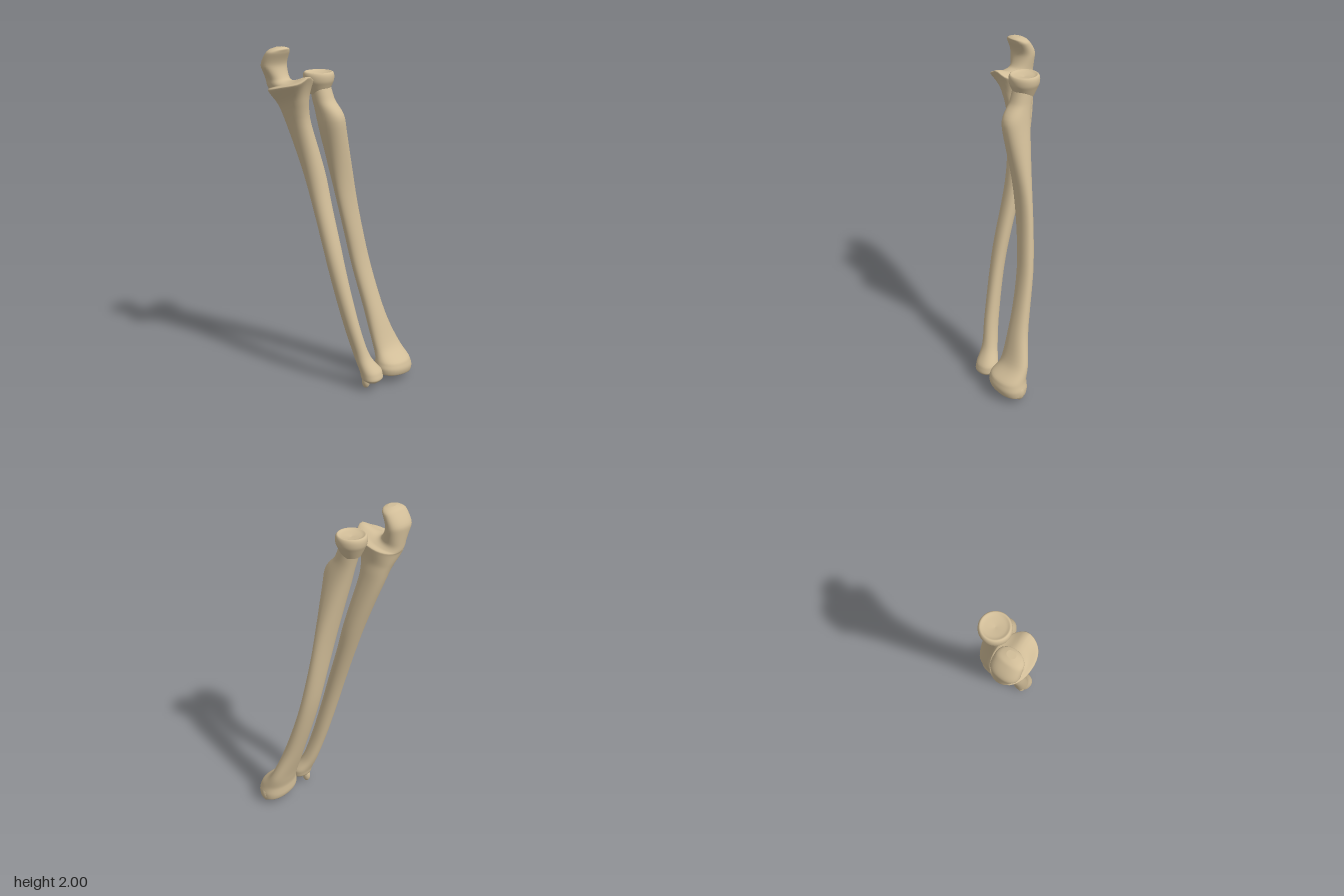
import * as THREE from 'three';

const SIDES = 32, STEPS = 7;
const { smoothstep } = THREE.MathUtils;

// Smooth value between stations b and c that never overshoots
function ease(a, b, c, d, t) {
  const mean = (p, q) => (p * q <= 0 ? 0 : (2 * p * q) / (p + q));
  const m0 = mean(b - a, c - b), m1 = mean(c - b, d - c);
  const t2 = t * t, t3 = t2 * t;
  return b * (2 * t3 - 3 * t2 + 1) + m0 * (t3 - 2 * t2 + t) + c * (3 * t2 - 2 * t3) + m1 * (t3 - t2);
}

// Skewed oval loft through stations [y, xMin, xMax, zMin, zMax], bottom to top; lift(x, y, z) raises the surface
function loft(stations, lift) {
  const at = (i) => stations[THREE.MathUtils.clamp(i, 0, stations.length - 1)];
  const rows = (stations.length - 1) * STEPS;
  const pos = [], index = [];
  const put = (x, y, z) => pos.push(x, y + lift(x, y, z), z);
  for (let r = 0; r <= rows; r++) {
    const i = Math.floor(r / STEPS), t = (r % STEPS) / STEPS;
    const [y, x0, x1, z0, z1] = at(i).map((v, k) => ease(at(i - 1)[k], v, at(i + 1)[k], at(i + 2)[k], t));
    // The shafts are skewed, the ends are not
    const skew = 0.16 * smoothstep(y, 0.2, 0.7) * (1 - smoothstep(y, 1.2, 1.6));
    for (let j = 0; j < SIDES; j++) {
      const a = (j / SIDES) * Math.PI * 2;
      const round = (v) => Math.sign(v) * Math.abs(v) ** 0.9;
      put(
        (x0 + x1) / 2 + ((x1 - x0) / 2) * round(Math.cos(a)), y,
        (z0 + z1) / 2 + ((z1 - z0) / 2) * round(Math.sin(a + skew)),
      );
    }
  }
  for (let i = 0; i < rows; i++) {
    for (let j = 0; j < SIDES; j++) {
      const a = i * SIDES + j, b = i * SIDES + ((j + 1) % SIDES);
      index.push(a, a + SIDES, b, b, a + SIDES, b + SIDES);
    }
  }
  // End caps
  const centre = pos.length / 3;
  for (const [y, x0, x1, z0, z1] of [at(0), at(rows)]) put((x0 + x1) / 2, y, (z0 + z1) / 2);
  for (let j = 0; j < SIDES; j++) {
    const k = (j + 1) % SIDES;
    index.push(centre, j, k, centre + 1, rows * SIDES + k, rows * SIDES + j);
  }
  const geometry = new THREE.BufferGeometry();
  geometry.setAttribute('position', new THREE.Float32BufferAttribute(pos, 3));
  geometry.setIndex(index);
  geometry.computeVertexNormals();
  return geometry;
}

export function createModel() {
  const bone = new THREE.MeshStandardMaterial({ color: 0xd1bd98 });
  bone.name = 'bone';
  const part = (name, geometry) => {
    const mesh = new THREE.Mesh(geometry, bone);
    mesh.name = name;
    return mesh;
  };
  // Small pointed knob under a wrist end
  const knob = (name, x, y, z, rx, ry, rz) =>
    part(name, new THREE.SphereGeometry(1, 24, 16).scale(rx, ry, rz).translate(x, y, z));

  // Radius: wide wrist end that slopes outwards, slender shaft, bump below the head
  const radiusShaft = loft([
    [0.04, 0.12, 0.28, 0.2, 0.3],
    [0.05, 0.08, 0.322, 0.16, 0.325],
    [0.085, 0.074, 0.326, 0.15, 0.335],
    [0.125, 0.082, 0.316, 0.15, 0.325],
    [0.2, 0.1, 0.298, 0.135, 0.245],
    [0.4, 0.097, 0.232, 0.078, 0.172],
    [0.8, 0.052, 0.173, -0.015, 0.065],
    [1.2, -0.028, 0.11, -0.062, 0.025],
    [1.59, -0.107, 0.026, -0.128, 0.046],
    [1.71, -0.112, 0.004, -0.152, -0.025],
    [1.79, -0.115, 0, -0.17, -0.055],
  ], (x, y) => 0.12 * (0.2 - x) * (1 - smoothstep(y, 0.05, 0.2)));

  // Dished disc on top of the radius
  const headProfile = new THREE.SplineCurve([
    [0.054, 1.735], [0.075, 1.782], [0.086, 1.81], [0.087, 1.84], [0.077, 1.857], [0.055, 1.849], [0, 1.84],
  ].map(([r, y]) => new THREE.Vector2(r, y)));
  const head = new THREE.LatheGeometry(headProfile.getPoints(30), 40).translate(-0.059, 0, -0.118);

  const radius = new THREE.Group();
  radius.name = 'radius';
  radius.add(
    part('radiusShaft', radiusShaft),
    part('radiusHead', head),
    knob('radiusStyloid', 0.302, 0.062, 0.242, 0.027, 0.048, 0.035),
  );

  // Ulna: small wrist end, slender shaft, shelf at the elbow and hooked top
  const ulnaShaft = loft([
    [0.052, -0.04, 0.045, 0.21, 0.285],
    [0.075, -0.063, 0.069, 0.185, 0.303],
    [0.11, -0.065, 0.07, 0.175, 0.295],
    [0.2, -0.07, 0.022, 0.143, 0.237],
    [0.4, -0.102, -0.022, 0.09, 0.182],
    [0.8, -0.146, -0.05, -0.01, 0.08],
    [1.2, -0.161, -0.05, -0.135, -0.03],
    [1.6, -0.226, -0.11, -0.266, -0.1],
    [1.7, -0.262, -0.125, -0.292, -0.085],
    [1.785, -0.326, -0.116, -0.312, -0.042],
    [1.8, -0.3, -0.15, -0.318, -0.12],
    [1.83, -0.3, -0.172, -0.323, -0.195],
    [1.9, -0.33, -0.165, -0.332, -0.225],
    [1.97, -0.325, -0.17, -0.294, -0.2],
    [1.99, -0.305, -0.188, -0.275, -0.194],
    [2, -0.27, -0.22, -0.25, -0.212],
  ], (x, y, z) => {
    // The shelf rises to the front, with a ridge along its middle
    const shelf = smoothstep(y, 1.62, 1.77) * (1 - smoothstep(y, 1.8, 1.88));
    const ridge = Math.exp(-(((x + 0.21) / 0.045) ** 2)) * smoothstep(z, -0.2, -0.06);
    return shelf * (0.25 * (z + 0.18) + 0.03 * ridge);
  });

  const ulna = new THREE.Group();
  ulna.name = 'ulna';
  ulna.add(
    part('ulnaShaft', ulnaShaft),
    knob('ulnaStyloid', -0.016, 0.045, 0.212, 0.022, 0.045, 0.026),
  );

  const model = new THREE.Group();
  model.name = 'forearmBones';
  model.add(radius, ulna);
  return model;
}
